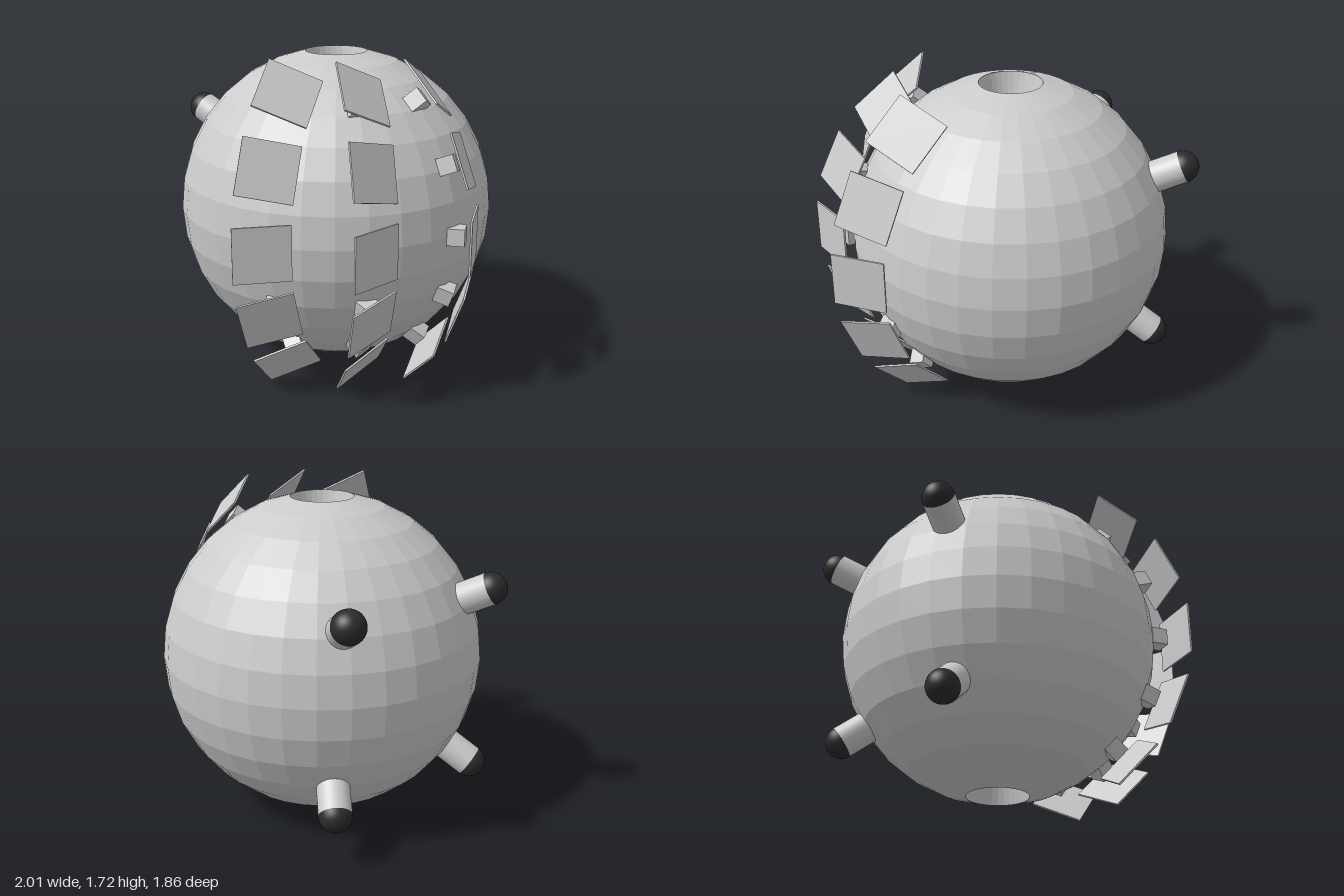
import * as THREE from 'three';

const DEG = Math.PI / 180;
const R = 0.855;

const grey = new THREE.MeshStandardMaterial({ color: 0xcccccc });
const faceted = new THREE.MeshStandardMaterial({ color: 0xcccccc, flatShading: true });
const dark = new THREE.MeshStandardMaterial({ color: 0x2b2b2b });

function part(name, geometry, material, parent) {
  const mesh = new THREE.Mesh(geometry, material);
  mesh.name = name;
  parent.add(mesh);
  return mesh;
}

// Group whose local +x points out of the ball at an azimuth (from +x to +z) and elevation
function radialMount(name, azimuth, elevation, parent) {
  const mount = new THREE.Group();
  mount.name = name;
  mount.rotation.set(0, -azimuth * DEG, elevation * DEG, 'YZX');
  parent.add(mount);
  return mount;
}

export function createModel() {
  const model = new THREE.Group();
  const body = new THREE.Group();
  body.name = 'body';
  body.position.set(-0.045, 0.8386, -0.081);
  model.add(body);

  // Faceted ball, with a deep conical pit at each pole reaching the centre
  const profile = [new THREE.Vector2(0, -0.01)];
  for (let i = 1; i <= 15; i++) {
    const a = (i * Math.PI) / 16;
    profile.push(new THREE.Vector2(R * Math.sin(a), -R * Math.cos(a)));
  }
  profile.push(new THREE.Vector2(0, 0.01));
  part('ball', new THREE.LatheGeometry(profile, 32), faceted, body);

  // Four round pegs with dark domed tips
  const pegGeometry = new THREE.CylinderGeometry(0.085, 0.085, 0.22, 32).rotateZ(-Math.PI / 2);
  const tipGeometry = new THREE.SphereGeometry(0.085, 32, 10, 0, Math.PI * 2, 0, Math.PI / 2)
    .rotateZ(-Math.PI / 2);
  const pegs = [[165, 25.5], [227, 25], [163, -33.5], [230, -35]];
  for (const [azimuth, elevation] of pegs) {
    const mount = radialMount('peg', azimuth, elevation, body);
    part('pegShaft', pegGeometry, grey, mount).position.x = 0.89;
    part('pegTip', tipGeometry, dark, mount).position.x = 1.0;
  }

  // Three columns of five square plates, each turned sideways in front of a small block
  const plateGeometry = new THREE.BoxGeometry(0.01, 0.285, 0.288);
  const blockGeometry = new THREE.BoxGeometry(0.09, 0.09, 0.09);
  for (const azimuth of [0, 33.3, 66]) {
    for (const elevation of [-45, -22.5, 0, 24, 48]) {
      const mount = radialMount('plateMount', azimuth, elevation, body);
      const plate = part('plate', plateGeometry, grey, mount);
      plate.position.x = 0.97;
      const block = part('plateBlock', blockGeometry, grey, mount);
      block.position.x = 0.865;
      plate.rotation.y = block.rotation.y = 32 * DEG;
    }
  }
  return model;
}
